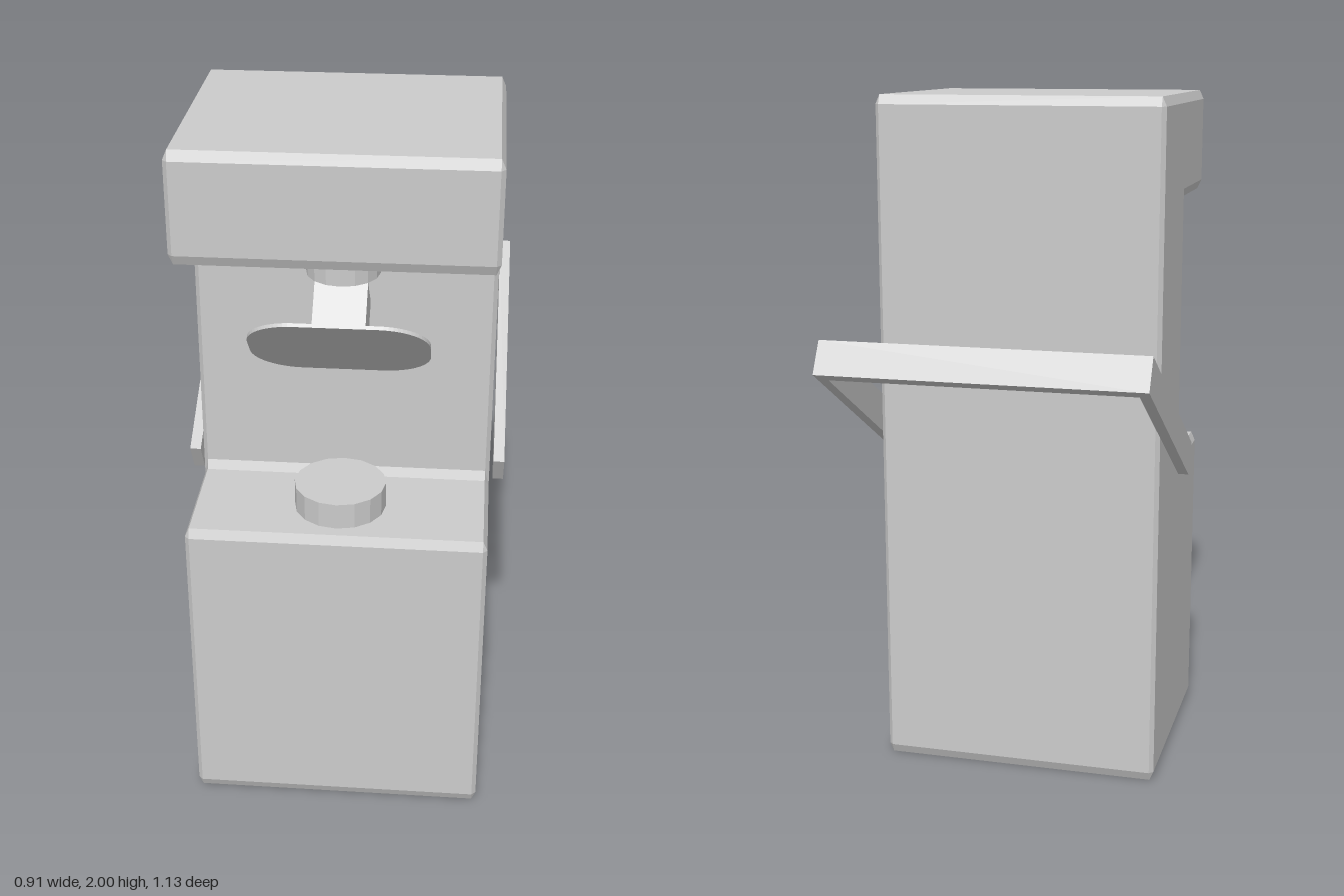
import * as THREE from 'three';

const material = new THREE.MeshStandardMaterial({ color: 0xcccccc, flatShading: true });

function addMesh(group, name, geometry, x = 0, y = 0, z = 0, tilt = 0) {
  const mesh = new THREE.Mesh(geometry, material);
  mesh.name = name;
  mesh.position.set(x, y, z);
  mesh.rotation.x = tilt;
  group.add(mesh);
  return mesh;
}

// C-shaped block with every edge chamfered
function bodyGeometry() {
  const halfWidth = 0.415, bevel = 0.012, bevelY = 0.027;
  // z, y, direction into the material, convex (1) or concave (-1)
  const corners = [
    [0.535, 0, -1, 1, 1], [-0.155, 0, 1, 1, 1],
    [-0.155, 2, 1, -1, 1], [0.535, 2, -1, -1, 1],
    [0.535, 1.70, -1, 1, 1], [0.192, 1.70, -1, 1, -1],
    [0.192, 0.915, -1, -1, -1], [0.535, 0.915, -1, -1, 1],
  ];
  const inset = [], outer = [];
  corners.forEach(([z, y, sz, sy, convex], i) => {
    inset.push([z + sz * bevel, y + sy * bevelY]);
    const onVertical = [z, y + convex * sy * bevelY];
    const onHorizontal = [z + convex * sz * bevel, y];
    outer.push(...(i % 2 ? [onHorizontal, onVertical] : [onVertical, onHorizontal]));
  });

  const positions = [];
  const polygon = (points) => {
    for (let i = 1; i < points.length - 1; i++) {
      positions.push(...points[0], ...points[i], ...points[i + 1]);
    }
  };
  // Front, back, top, bottom and notch walls
  outer.forEach(([z, y], i) => {
    const [nz, ny] = outer[(i + 1) % outer.length];
    const x = halfWidth - bevel;
    polygon([[x, y, z], [-x, y, z], [-x, ny, nz], [x, ny, nz]]);
  });
  // Mirrored side faces with their chamfers
  const triangles = THREE.ShapeUtils.triangulateShape(
    inset.map(([z, y]) => new THREE.Vector2(-z, y)), []);
  for (const side of [1, -1]) {
    const sidePolygon = (points) => polygon(side > 0 ? points : points.reverse());
    const ring = (k) => [side * (halfWidth - bevel), outer[k][1], outer[k][0]];
    const face = (k) => [side * halfWidth, inset[k][1], inset[k][0]];
    for (let i = 0; i < corners.length; i++) {
      const next = (i + 1) % corners.length;
      sidePolygon([ring(2 * i), ring(2 * i + 1), face(i)]);
      sidePolygon([ring(2 * i + 1), ring(2 * next), face(next), face(i)]);
    }
    triangles.forEach((t) => sidePolygon(t.map(face)));
  }
  const geometry = new THREE.BufferGeometry();
  geometry.setAttribute('position', new THREE.Float32BufferAttribute(positions, 3));
  geometry.computeVertexNormals();
  return geometry;
}

// U-shaped bar lying in its own plane
function handleGeometry() {
  const outside = 0.457, inside = 0.426, length = 0.80, bar = 0.04, depth = 0.10;
  const shape = new THREE.Shape([
    [inside, 0], [outside, 0], [outside, length], [-outside, length],
    [-outside, 0], [-inside, 0], [-inside, length - bar], [inside, length - bar],
  ].map(([x, y]) => new THREE.Vector2(x, y)));
  return new THREE.ExtrudeGeometry(shape, { depth, bevelEnabled: false })
    .translate(0, 0, -depth / 2);
}

// Thin plate with rounded corners
function plateGeometry() {
  const w = 0.238, h = 0.164, r = 0.13, depth = 0.01;
  const shape = new THREE.Shape();
  shape.absarc(w - r, h - r, r, 0, Math.PI / 2);
  shape.absarc(r - w, h - r, r, Math.PI / 2, Math.PI);
  shape.absarc(r - w, r - h, r, Math.PI, Math.PI * 1.5);
  shape.absarc(w - r, r - h, r, Math.PI * 1.5, Math.PI * 2);
  return new THREE.ExtrudeGeometry(shape, { depth, bevelEnabled: false, curveSegments: 8 })
    .translate(0, 0, -depth / 2);
}

export function createModel() {
  const model = new THREE.Group();
  model.name = 'machine';

  addMesh(model, 'body', bodyGeometry());
  addMesh(model, 'lowerDisc', new THREE.CylinderGeometry(0.128, 0.128, 0.08, 16), 0, 0.95, 0.362);
  addMesh(model, 'upperNozzle', new THREE.CylinderGeometry(0.098, 0.098, 0.095, 16), 0.007, 1.657, 0.325);

  // Tilted block with the plate in front of it
  addMesh(model, 'tiltedBlock', new THREE.BoxGeometry(0.14, 0.138, 0.138), 0.005, 1.5, 0.365, Math.PI / 4);
  addMesh(model, 'tiltedPlate', plateGeometry(), 0.007, 1.447, 0.447, Math.PI / 4);

  // Carrying handle reaching up behind the body
  addMesh(model, 'handle', handleGeometry(), 0, 0.9225, 0.1525, -THREE.MathUtils.degToRad(60.2));

  return model;
}
